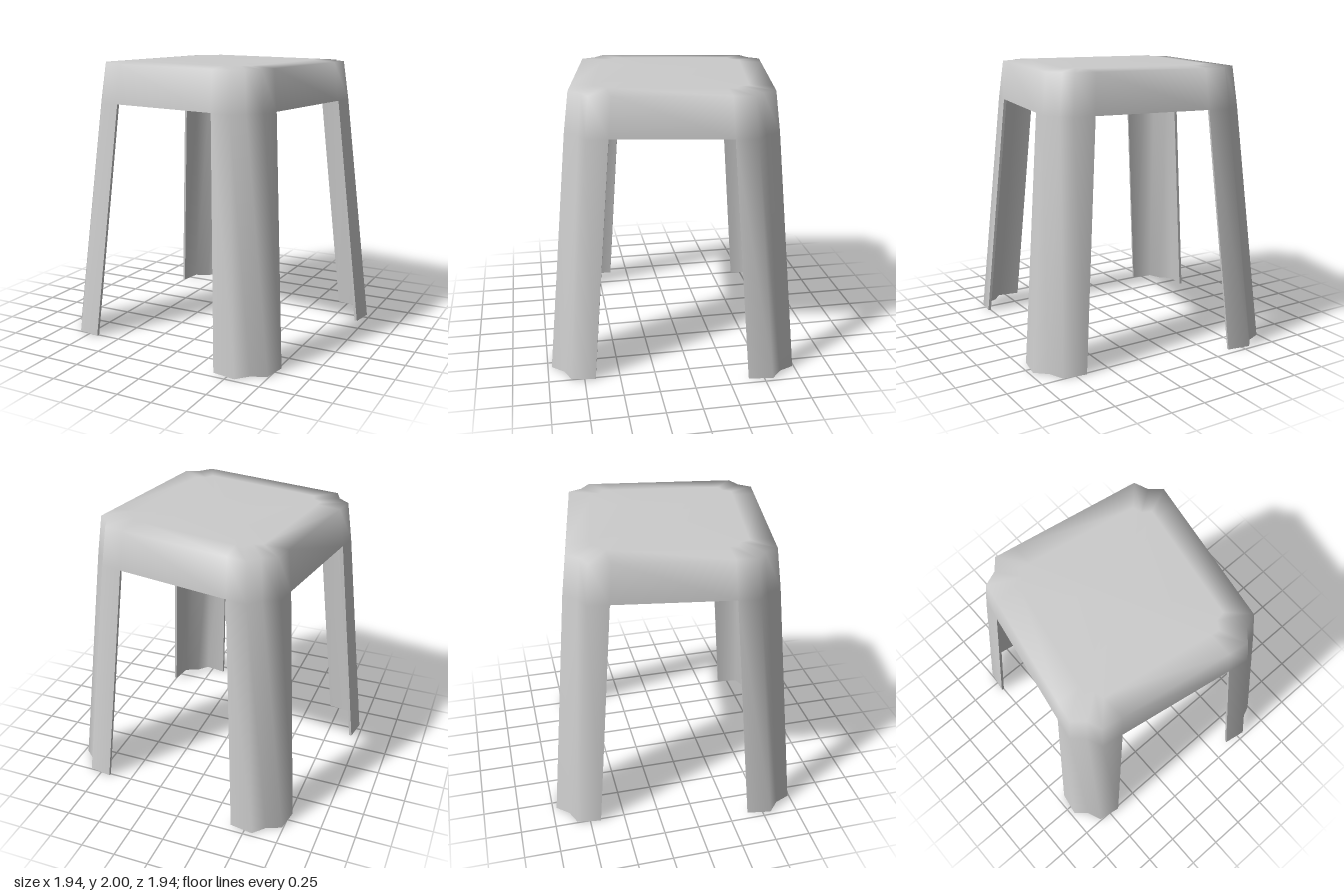
import * as THREE from 'three';

// Cross-section levels from the seat panel down to the feet:
// y height, a free edge of leg, c chamfer corner, b distance of the side face
const LEVELS = [
  { y: 2.0, a: 0.37, c: 0.43, b: 0.52 },
  { y: 1.988, a: 0.395, c: 0.54, b: 0.686 },
  { y: 1.71, a: 0.413, c: 0.563, b: 0.72 },
  { y: 0, a: 0.54, c: 0.71, b: 0.868 },
];
const WALL = 0.02, GROOVE = 0.018, PER_CORNER = 5, RING = 20;

// One ring of 20 points: five per corner, the corner turned four times
function ring({ y, a, c, b }) {
  const m = (b + c) / 2 - GROOVE;
  const corner = [[a, b], [c, b], [m, m], [b, c], [b, a]];
  const pts = [];
  for (let q = 0; q < 4; q++) {
    for (const [x, z] of corner) {
      const p = [[x, z], [z, -x], [-x, -z], [-z, x]][q];
      pts.push(new THREE.Vector3(p[0], y, p[1]));
    }
  }
  return pts;
}

// Smooth surface: panel, skirt all round, then four separate legs
function shellGeometry(rings, inward) {
  const pts = [...rings.flat(), new THREE.Vector3(0, rings[0][0].y, 0)];
  const index = [];
  const tri = (i, j, k) => index.push(...(inward ? [i, k, j] : [i, j, k]));
  for (let i = 0; i < RING; i++) {
    const n = (i + 1) % RING;
    tri(pts.length - 1, i, n);
    for (let l = 0; l < rings.length - 1; l++) {
      const isLeg = l === rings.length - 2;
      if (isLeg && i % PER_CORNER === PER_CORNER - 1) continue; // opening between legs
      const u = l * RING, d = u + RING;
      tri(u + i, d + i, d + n);
      tri(u + i, d + n, u + n);
    }
  }
  const geo = new THREE.BufferGeometry().setFromPoints(pts);
  geo.setIndex(index);
  geo.computeVertexNormals();
  return geo;
}

// Narrow band that closes the wall thickness along every open edge
function edgeGeometry(outer, inner) {
  const pts = [];
  const band = (l0, i0, l1, i1) => {
    const [a, b, c, d] = [outer[l0][i0], outer[l1][i1], inner[l1][i1], inner[l0][i0]];
    pts.push(a, d, c, a, c, b);
  };
  const skirt = outer.length - 2, foot = outer.length - 1;
  for (let i = 0; i < RING; i++) {
    const n = (i + 1) % RING, k = i % PER_CORNER;
    if (k === PER_CORNER - 1) band(skirt, i, skirt, n);
    else band(foot, i, foot, n);
    if (k === 0) band(skirt, i, foot, i);
    if (k === PER_CORNER - 1) band(foot, i, skirt, i);
  }
  const geo = new THREE.BufferGeometry().setFromPoints(pts);
  geo.computeVertexNormals();
  return geo;
}

export function createModel() {
  const group = new THREE.Group();
  group.name = 'stool';
  const material = new THREE.MeshStandardMaterial({ color: 0xcccccc });
  const edgeMaterial = new THREE.MeshStandardMaterial({ color: 0xcccccc, side: THREE.DoubleSide });

  const outer = LEVELS.map(ring);
  const inner = LEVELS.map(({ y, a, c, b }, l) =>
    ring({ y: l < 2 ? y - WALL : y, a, c: c - WALL * 0.4, b: b - WALL }));

  // The whole stool stands slightly turned
  const body = new THREE.Group();
  body.name = 'body';
  body.rotation.y = -0.164;
  group.add(body);

  const add = (name, geometry, mat) => {
    const mesh = new THREE.Mesh(geometry, mat);
    mesh.name = name;
    body.add(mesh);
  };
  add('seatAndLegsOuterShell', shellGeometry(outer, false), material);
  add('seatAndLegsInnerShell', shellGeometry(inner, true), material);
  add('shellEdges', edgeGeometry(outer, inner), edgeMaterial);
  return group;
}
